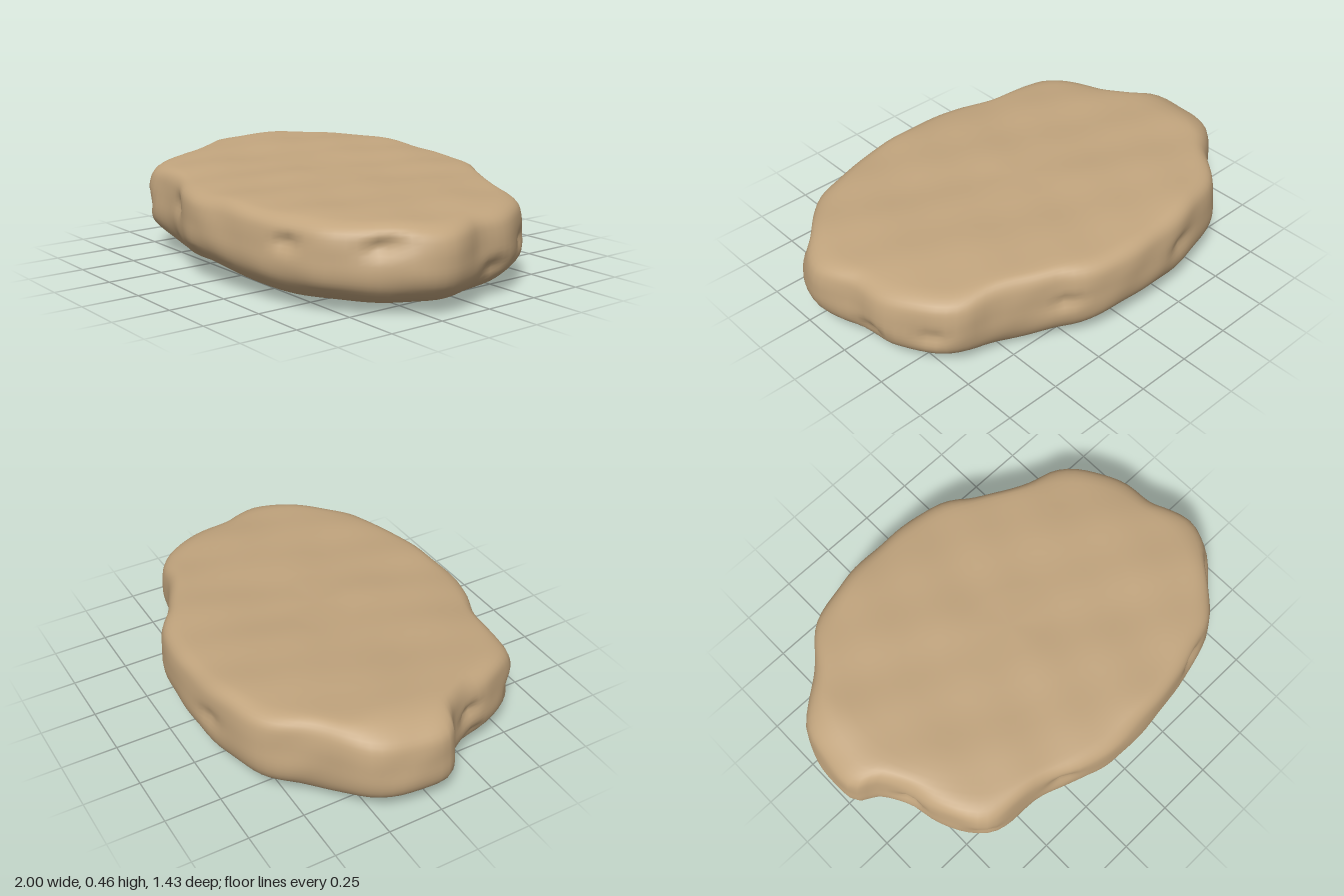
import * as THREE from 'three';

// Widest plan outline, x/z pairs, clockwise seen from above
const OUTLINE = [
  [-0.22, -0.71], [0.11, -0.70], [0.25, -0.66], [0.35, -0.59], [0.59, -0.475], [0.72, -0.445], [0.79, -0.40],
  [0.86, -0.30], [0.925, -0.17], [0.94, -0.01], [0.98, 0.09], [1.0, 0.19], [0.96, 0.31], [0.84, 0.45],
  [0.69, 0.585], [0.59, 0.625], [0.37, 0.68], [-0.06, 0.71], [-0.20, 0.675], [-0.40, 0.60], [-0.64, 0.58],
  [-0.70, 0.545], [-0.80, 0.36], [-0.83, 0.23], [-0.90, 0.11], [-0.985, 0.055], [-1.0, -0.08],
  [-0.945, -0.29], [-0.77, -0.44], [-0.60, -0.62], [-0.40, -0.68],
];

// Rim cross-section: fraction of the outline, fraction of the height
const SECTION = [
  [0.2, 0], [0.5, 0], [0.72, 0], [0.82, 0.02], [0.89, 0.075], [0.945, 0.17], [0.985, 0.3], [1, 0.44],
  [0.996, 0.6], [0.988, 0.75], [0.972, 0.87], [0.935, 0.95], [0.87, 0.985], [0.7, 1], [0.45, 1], [0.2, 1],
];

// Chips in the rim: x, y, z, radius, depth
const PITS = [
  [-0.3, 0.28, 0.64, 0.06, 0.02], [0.52, 0.27, 0.63, 0.05, 0.035], [0.85, 0.28, 0.43, 0.05, 0.03],
  [-0.08, 0.09, 0.69, 0.06, 0.025], [-0.68, 0.22, 0.55, 0.07, 0.025], [0.85, 0.2, -0.38, 0.05, 0.035],
  [0.93, 0.14, -0.1, 0.06, 0.03], [0.9, 0.3, 0.4, 0.06, 0.02], [-0.82, 0.28, 0.24, 0.05, 0.03],
  [-0.8, 0.15, 0.28, 0.05, 0.02], [-0.3, 0.27, -0.69, 0.06, 0.02], [0.3, 0.25, -0.61, 0.05, 0.025],
];

// Gentle uneven relief
const lumps = (x, y, z) =>
  Math.sin(7 * x + 3 * z + 1) * Math.sin(8 * z - 2 * x + 9 * y) * 0.5 +
  Math.sin(15 * x - 6 * z + 11 * y) * Math.sin(13 * z + 5 * x + 2) * 0.5;

// The top slopes down to the front and to +x, and droops at the -x end
const topHeight = (x, z) =>
  0.418 - 0.045 * x - 0.03 * z * (1 - x) - 0.015 * z * z
  - 0.03 * THREE.MathUtils.smoothstep(-x, 0.78, 1) + 0.008 * lumps(x, 0, z);

// The underside arches slightly across the middle and lifts at the front and back
const bottomHeight = (x, z) =>
  0.018 - 0.012 * x + 0.022 * Math.exp(-((x / 0.25) ** 2)) + 0.03 * z * z + 0.006 * lumps(x + 3, 0, z);

// Average of a loop's neighbours, which fills its notches and trims its bulges
function soften(loop, reach) {
  return loop.map((_, j) => {
    const sum = new THREE.Vector3();
    for (let k = -reach; k <= reach; k++) sum.add(loop[(j + k + loop.length) % loop.length]);
    return sum.divideScalar(2 * reach + 1);
  });
}

function stonePoint(edge, soft, s, f) {
  // The outline is rugged at its widest and rounder toward the broad faces
  const plan = edge.clone().lerp(soft, 1 - THREE.MathUtils.smoothstep(s, 0.84, 0.995));
  const x = plan.x * s, z = plan.z * s;
  const low = bottomHeight(x, z);
  const y = low + (topHeight(x, z) - low) * f;
  // Push the rim in or out, leaving the broad faces alone
  let push = 0.006 * lumps(x * 1.3, y * 2, z * 1.3);
  for (const [px, py, pz, r, depth] of PITS) {
    const d2 = (x - px) ** 2 + ((y - py) * 1.5) ** 2 + (z - pz) ** 2;
    push -= depth * Math.exp(-d2 / (r * r));
  }
  const k = 1 + (push * THREE.MathUtils.smoothstep(s, 0.75, 0.97)) / plan.length();
  return [x * k, y, z * k];
}

function stoneGeometry() {
  const sides = 128;
  const edge = new THREE.CatmullRomCurve3(
    OUTLINE.map(([x, z]) => new THREE.Vector3(x, 0, z)), true).getSpacedPoints(sides).slice(0, sides);
  const soft = soften(edge, 8);
  const section = new THREE.SplineCurve(SECTION.map(([s, f]) => new THREE.Vector2(s, f))).getPoints(45);
  const positions = [], index = [];
  for (const { x: s, y: f } of section) {
    for (let j = 0; j < sides; j++) positions.push(...stonePoint(edge[j], soft[j], s, f));
  }
  // Centre points closing the two broad faces
  const bottom = section.length * sides, top = bottom + 1;
  positions.push(0, bottomHeight(0, 0), 0, 0, topHeight(0, 0), 0);

  const last = (section.length - 1) * sides;
  for (let j = 0; j < sides; j++) {
    const n = (j + 1) % sides;
    for (let i = 0; i < last; i += sides) {
      const a = i + j, b = i + n, c = a + sides, d = b + sides;
      index.push(a, c, b, b, c, d);
    }
    index.push(bottom, j, n, top, last + n, last + j);
  }
  const geometry = new THREE.BufferGeometry();
  geometry.setAttribute('position', new THREE.Float32BufferAttribute(positions, 3));
  geometry.setIndex(index);

  // Rest on the ground, centred
  geometry.computeBoundingBox();
  const box = geometry.boundingBox, mid = box.getCenter(new THREE.Vector3());
  geometry.translate(-mid.x, -box.min.y, -mid.z);
  geometry.computeVertexNormals();
  return geometry;
}

export function createModel() {
  const sandstone = new THREE.MeshStandardMaterial({ color: 0xc2a57e });
  sandstone.name = 'sandstone';
  const stone = new THREE.Mesh(stoneGeometry(), sandstone);
  stone.name = 'flatStone';
  const group = new THREE.Group();
  group.name = 'steppingStone';
  group.add(stone);
  return group;
}
